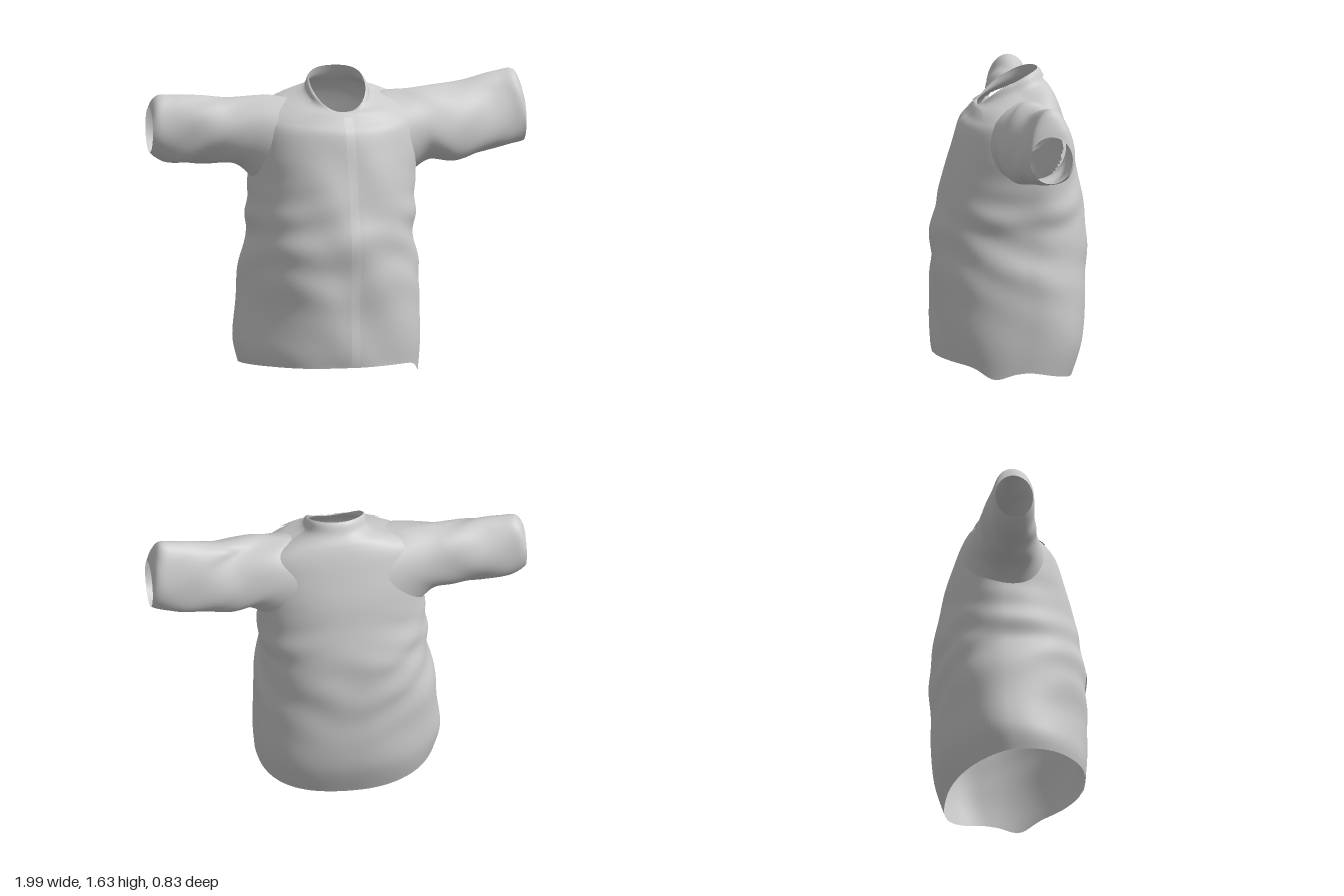
import * as THREE from 'three';

const material = new THREE.MeshStandardMaterial({ color: 0xcccccc, side: THREE.DoubleSide });
const { sin, cos, abs, sign, PI, exp, pow, max, min, floor } = Math;
const bump = (x, c, w) => exp(-(((x - c) / w) ** 2));

// Smooth (cubic) interpolation through a table of rows, u in 0..1
function sample(rows, u) {
  const f = min(max(u, 0), 1) * (rows.length - 1);
  const i = min(floor(f), rows.length - 2), t = f - i;
  const at = k => rows[min(max(k, 0), rows.length - 1)];
  return rows[0].map((_, c) => {
    const p0 = at(i - 1)[c], p1 = at(i)[c], p2 = at(i + 1)[c], p3 = at(i + 2)[c];
    const m1 = (p2 - p0) / 2, m2 = (p3 - p1) / 2, d = p2 - p1;
    return p1 + t * (m1 + t * (3 * d - 2 * m1 - m2 + t * (m1 + m2 - 2 * d)));
  });
}

// Surface from a grid of cross-sections; fn(u along, v around) gives a point
function loft(name, nu, nv, fn, closed = true, skip = () => false) {
  const pos = [], index = [], cols = closed ? nv : nv + 1;
  for (let i = 0; i <= nu; i++)
    for (let j = 0; j < cols; j++) pos.push(...fn(i / nu, j / nv));
  for (let i = 0; i < nu; i++)
    for (let j = 0; j < nv; j++) {
      const a = i * cols + j, b = i * cols + (j + 1) % cols, c = a + cols, d = b + cols;
      const mid = [0, 1, 2].map(k => (pos[a * 3 + k] + pos[d * 3 + k]) / 2);
      if (!skip(...mid)) index.push(a, c, b, b, c, d);
    }
  const g = new THREE.BufferGeometry();
  g.setAttribute('position', new THREE.Float32BufferAttribute(pos, 3));
  g.setIndex(index);
  g.computeVertexNormals();
  const mesh = new THREE.Mesh(g, material);
  mesh.name = name;
  return mesh;
}

// Torso rows, hem to collar rim: y, x min, x max, z back, z front, z centre, tilt, side rise
const TORSO = [
  [0.06, -0.535, 0.41, -0.325, 0.4, -0.03, -0.058, 0],
  [0.2, -0.555, 0.42, -0.38, 0.41, -0.06, -0.01, 0],
  [0.4, -0.53, 0.42, -0.4, 0.41, -0.08, 0, 0],
  [0.6, -0.515, 0.415, -0.4, 0.41, -0.08, 0, 0],
  [0.76, -0.485, 0.385, -0.395, 0.41, -0.08, 0, 0],
  [0.9, -0.485, 0.395, -0.385, 0.38, -0.08, 0, 0],
  [1.05, -0.47, 0.4, -0.36, 0.345, -0.08, 0, 0],
  [1.2, -0.47, 0.42, -0.33, 0.305, -0.08, 0, 0],
  [1.34, -0.46, 0.41, -0.285, 0.265, -0.09, 0.005, 0],
  [1.42, -0.43, 0.38, -0.25, 0.22, -0.1, 0.03, 0],
  [1.475, -0.32, 0.29, -0.215, 0.19, -0.09, 0.045, 0],
  [1.505, -0.185, 0.16, -0.175, 0.175, -0.03, 0.065, 0.01],
  [1.535, -0.16, 0.13, -0.145, 0.17, 0, 0.095, 0.035],
];
// Roundness of each quarter of the section; lower is boxier
const power = (left, front) => left ? (front ? 0.8 : 0.87) : 0.95;
const spow = (v, p) => sign(v) * pow(abs(v), p);

// Cloth folds: soft diagonal drapes, tighter towards the waist and sides
function folds(x, y, z) {
  const fade = min(1, max(0, (1.42 - y) / 0.25));
  return fade * (
    0.005 * sin(10 * y + 9 * x * sign(z) + 2 * sin(5 * x)) * min(1, abs(z) * 6) +
    0.005 * bump(y, 0.7, 0.28) * sin(24 * y - 12 * z + 1.5 * sin(9 * x + 4 * y)) +
    0.003 * sin(11 * x + 4 * y + 8 * z) +
    0.008 * bump(y, 0.93, 0.2) * sin(38 * y + 14 * abs(x) + 3 * z) * abs(x));
}

function torsoPoint(u, a, lift = 0) {
  const [y, x0, x1, zb, zf, cz, tilt, rise] = sample(TORSO, u);
  const c = cos(a), s = sin(a), p = power(c > 0, s > 0);
  const x = (x0 + x1) / 2 + (x1 - x0) / 2 * spow(c, p);
  const z = cz + (s > 0 ? zf - cz : cz - zb) * spow(s, p);
  const hem = max(0, 1 - u * 9) * c * c * (c < 0 ? 0.03 : 0.02 - 0.06 * bump(s, 0.3, 0.2));
  const f = folds(x, y, z) + lift;
  return [x + f * c, y - tilt * s + rise * c * c + hem, z + f * s];
}

// Side wall of the torso at a given height and depth, where a sleeve starts
function torsoSide(y, z, side) {
  let lo = 0, hi = 1;
  for (let k = 0; k < 20; k++) {
    const m = (lo + hi) / 2;
    if (sample(TORSO, m)[0] < y) lo = m; else hi = m;
  }
  const [, x0, x1, zb, zf, cz] = sample(TORSO, lo), p = power(side > 0, z > cz);
  const q = min(1, abs((z - cz) / (z > cz ? zf - cz : cz - zb)));
  return side * (x0 + x1) / 2 + (x1 - x0) / 2 * pow(1 - pow(q, 2 / p), p / 2) - 0.015;
}

// Sleeve rows, shoulder to cuff: t, y low, y high, z back, z front, sag of the sides
const LEFT = [
  [0, 1.07, 1.49, -0.27, 0.15, 0], [0.14, 1.125, 1.5, -0.25, 0.125, 0.01],
  [0.35, 1.125, 1.512, -0.235, 0.125, 0.06], [0.62, 1.155, 1.535, -0.23, 0.07, 0.07],
  [0.84, 1.18, 1.57, -0.225, 0.035, 0.06], [0.95, 1.19, 1.575, -0.22, 0.025, 0.04],
  [1, 1.2, 1.45, -0.205, 0.02, 0],
];
const RIGHT = [
  [0, 1.06, 1.485, -0.28, 0.15, 0], [0.14, 1.13, 1.49, -0.255, 0.1, 0],
  [0.35, 1.145, 1.49, -0.24, 0.06, 0], [0.62, 1.15, 1.5, -0.235, 0.035, 0.01],
  [0.84, 1.155, 1.51, -0.225, 0.01, 0.01], [0.95, 1.185, 1.51, -0.22, 0, 0.01],
  [1, 1.21, 1.45, -0.21, -0.01, 0],
];

function sleeve(name, rows, side) {
  return loft(name, 40, 48, (u, v) => {
    const [t, y0, y1, z0, z1, sag] = sample(rows, u);
    const a = v * 2 * PI, c = cos(a), s = -side * sin(a);
    const f = 0.004 * sin(PI * min(t, 1)) * (sin(3 * a + 9 * t) + sin(5 * a - 14 * t + side));
    const y = (y0 + y1) / 2 + ((y1 - y0) / 2 + f) * c - sag * s * s;
    const z = (z0 + z1) / 2 + ((z1 - z0) / 2 + f) * s;
    const start = torsoSide(y, z, side);
    return [side * (start + (0.995 - start) * t), y, z];
  });
}

export function createModel() {
  const shirt = new THREE.Group();
  shirt.name = 'shirt';

  // Body with open neck, hem and armholes
  const armhole = (x, y, z) => abs(x) > 0.27 && ((y - 1.28) / 0.19) ** 2 + ((z + 0.06) / 0.18) ** 2 < 1;
  shirt.add(loft('torso', 110, 96, (u, v) => torsoPoint(u, v * 2 * PI), true, armhole));

  shirt.add(sleeve('leftSleeve', LEFT, 1), sleeve('rightSleeve', RIGHT, -1));

  // Collar folded over the neck, dropping to a point on each side of the front
  shirt.add(loft('collar', 10, 120, (u, v) => {
    const a = PI / 2 + 0.15 + v * (2 * PI - 0.3);
    const tip = max(0, 1 - abs(min(v, 1 - v) - 0.085) / 0.075);
    const down = (1 - u) * (0.06 + 0.18 * tip);
    return torsoPoint(1 - down, a, 0.012 * (1 - u ** 4));
  }, false));

  // Button placket down the front, one raised edge
  shirt.add(loft('placket', 60, 4, (u, v) => {
    const t = 0.003 + u * 0.8;
    const [, x0, x1] = sample(TORSO, t);
    const x = 0.05 - v * 0.07 - (x0 + x1) / 2;
    const c = spow(2 * x / (x1 - x0), 1 / power(x > 0, true));
    return torsoPoint(t, Math.acos(c), 0.01 * v - 0.003);
  }, false));

  return shirt;
}
